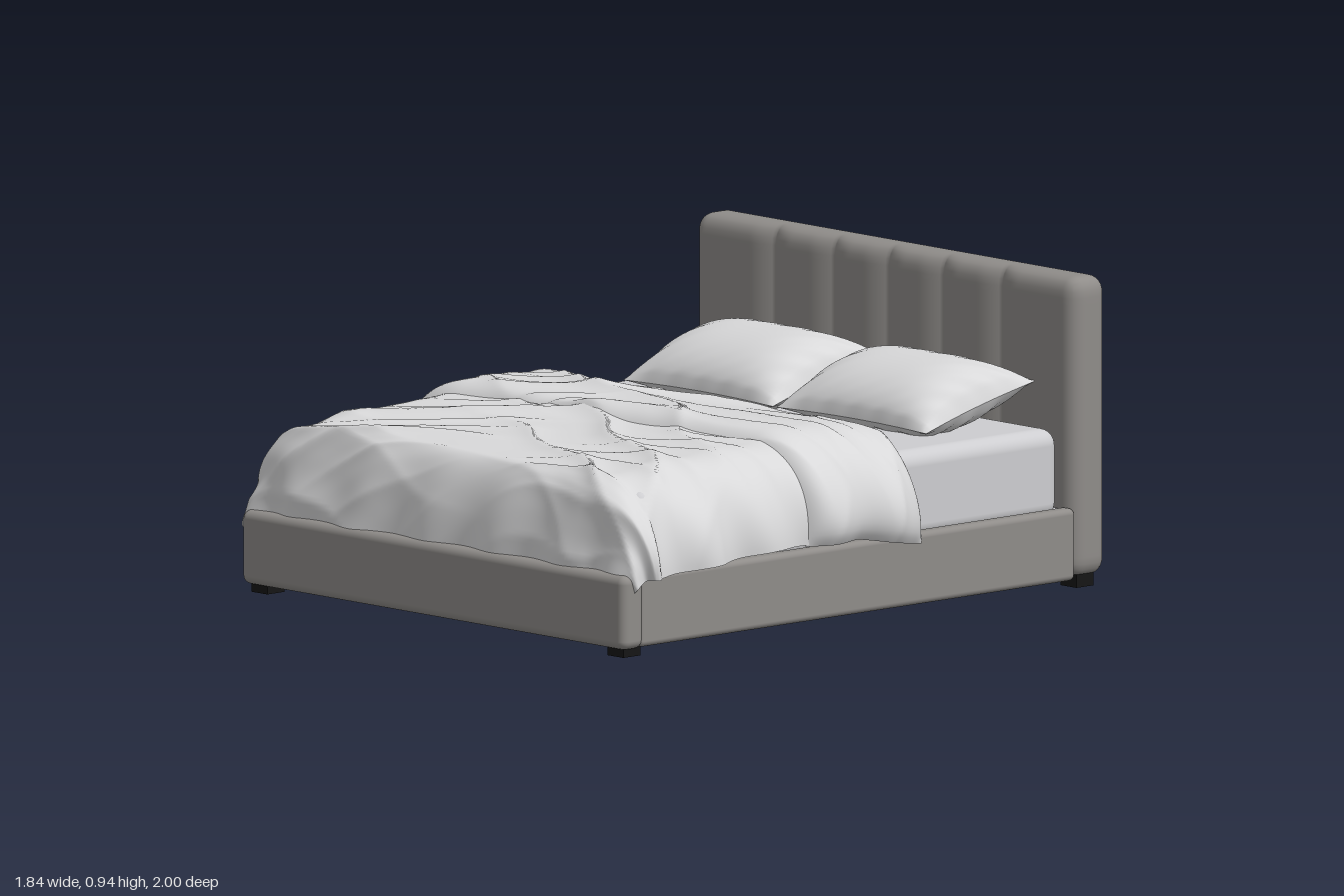
import * as THREE from 'three';
import { mergeVertices } from 'three/addons/utils/BufferGeometryUtils.js';
import { RoundedBoxGeometry } from 'three/addons/geometries/RoundedBoxGeometry.js';

const { sin, cos, abs, min, max, sign, PI } = Math;
const clamp = THREE.MathUtils.clamp;

const upholstery = new THREE.MeshStandardMaterial({ color: 0x8f8c89 });
const mattressFabric = new THREE.MeshStandardMaterial({ color: 0xcdcdd0 });
const linen = new THREE.MeshStandardMaterial({ color: 0xd8d8d9, side: THREE.DoubleSide });
const footPlastic = new THREE.MeshStandardMaterial({ color: 0x151515 });
upholstery.name = 'upholstery';
mattressFabric.name = 'mattressFabric';
linen.name = 'linen';
footPlastic.name = 'footPlastic';

function part(parent, name, geometry, material, x = 0, y = 0, z = 0) {
  const mesh = new THREE.Mesh(geometry, material);
  mesh.name = name;
  mesh.position.set(x, y, z);
  parent.add(mesh);
  return mesh;
}

// Moves every vertex by a rule and recomputes smooth normals
function reshape(geometry, rule) {
  geometry.deleteAttribute('normal');
  geometry.deleteAttribute('uv');
  const geo = mergeVertices(geometry, 1e-5);
  const pos = geo.attributes.position;
  const p = new THREE.Vector3();
  for (let i = 0; i < pos.count; i++) {
    rule(p.fromBufferAttribute(pos, i));
    pos.setXYZ(i, p.x, p.y, p.z);
  }
  geo.computeVertexNormals();
  return geo;
}

// Grid with u across and v from back (-1) to front (+1), facing up
function sheet(nu, nv, fn) {
  return reshape(new THREE.PlaneGeometry(2, 2, nu, nv), (p) => fn(p.x, -p.y, p));
}

// Headboard: rounded slab whose front is drawn in along vertical seams
function headboardGeometry() {
  const half = new THREE.Vector3(0.84, 0.4575, 0.0725);
  const r = 0.05;
  const seams = [-0.5, -0.24, 0, 0.24, 0.5];
  const core = new THREE.Vector3();
  return reshape(new THREE.BoxGeometry(1.68, 0.915, 0.145, 168, 44, 10), (p) => {
    const d = min(...seams.map((s) => abs(p.x - s)));
    core.set(
      clamp(p.x, -half.x + r, half.x - r),
      clamp(p.y, -half.y + r, half.y - r),
      clamp(p.z, -half.z + r, half.z - r));
    p.sub(core).setLength(r).add(core);
    const front = clamp((p.z + 0.02) / 0.09, 0, 1);
    p.z -= 0.024 * front * (1 - min(d / 0.09, 1)) ** 2;
  });
}

// Creases in the bedding
const ridge = (q) => (1 - abs(sin(q))) ** 1.6;
function wrinkle(x, z) {
  const p = z + 0.09 * sin(3 * x + 1) + 0.04 * sin(8 * x + 5 * z);
  return 0.024 * ridge(p * 8 + x * 2.2) * (0.5 + 0.5 * sin(4 * x + 3 * z + 1))
    + 0.02 * ridge(p * 13 - x * 6 + 0.7) * (0.5 + 0.5 * sin(5 * z - 4 * x))
    + 0.009 * ridge(p * 25 + x * 9) * (0.5 + 0.5 * sin(7 * x + 4));
}

// Lays cloth point (s, t) over a rounded edge at the sides and at the foot
function drape(s, t, o, lift, out) {
  const ru = max(0, abs(s) - o.a) / o.len;
  const rv = max(0, t - o.b) / o.len;
  const r = (ru ** 4 + rv ** 4) ** 0.25;
  const du = r ? ru / r : 0;
  const dv = r ? rv / r : 0;
  const ang = min(r, 1) * PI / 2;
  const hang = min(r, 1) * 0.013 * (du * sin(t * 25 + 4 * ru) + dv * sin(s * 21 + 3 * rv));
  const w = wrinkle(s, t) * (1 - 0.35 * min(r, 1)) + lift + hang;
  out.set(
    sign(s) * (min(abs(s), o.a) + du * (o.outX * sin(ang) + w * sin(ang))),
    o.top(t) - o.drop * (1 - cos(ang) + max(0, r - 1)) + w * cos(ang),
    min(t, o.b) + dv * (o.outZ * sin(ang) + w * sin(ang)));
}

function duvetGeometry() {
  const o = {
    a: 0.62, b: 0.865, len: 0.34, outX: 0.245, outZ: 0.1, drop: 0.285,
    top: (t) => 0.55 - 0.03 * clamp((t - 0.4) / 0.45, 0, 1),
  };
  return sheet(150, 120, (u, v, p) => {
    const z0 = -0.1;
    const t = z0 + (v + 1) / 2 * (o.b + o.len - z0);
    drape(u * (o.a + o.len), t, o, 0, p);
  });
}

// Turned-back upper part of the duvet, puffed with rolled edges
function foldGeometry() {
  const o = {
    a: 0.62, b: 9, len: 0.34, outX: 0.25, outZ: 0, drop: 0.28,
    top: (t) => 0.54 - 0.045 * clamp((0.05 - t) / 0.27, 0, 1),
  };
  return sheet(150, 60, (u, v, p) => {
    const front = 0.31 - 0.05 * u + 0.018 * sin(5 * u + 1);
    const back = -0.225 + 0.008 * sin(9 * u);
    const t = back + (v + 1) / 2 * (front - back);
    const puff = 0.055 * (1 - v ** 10) * (1 - 0.8 * u ** 30) - 0.01;
    drape(u * (o.a + o.len), t, o, puff, p);
  });
}

// Pillow half: plump centre, pinched corners, concave edges
function pillowHalf(side) {
  return sheet(40, 32, (u, v, p) => {
    const plump = ((1 - u ** 4) * (1 - v * v)) ** 0.62;
    const edge = max(abs(u), abs(v));
    const pucker = 0.007 * edge ** 4 * sin(19 * u + 15 * v) * (1 - edge ** 8);
    p.set(
      0.33 * u * (1 - 0.05 * (1 - v * v) * u * u),
      side * ((side > 0 ? 0.115 : 0.085) * plump + pucker),
      0.232 * v * (1 - 0.07 * (1 - u * u) * v * v));
  });
}

export function createModel() {
  const bed = new THREE.Group();
  bed.name = 'bed';

  // Frame
  part(bed, 'headboard', headboardGeometry(), upholstery, 0, 0.4875, -0.9275);
  part(bed, 'footboard', new RoundedBoxGeometry(1.69, 0.225, 0.088, 4, 0.026),
    upholstery, 0, 0.1375, 0.954);
  for (const s of [-1, 1]) {
    const side = s > 0 ? 'left' : 'right';
    part(bed, side + 'Rail', new RoundedBoxGeometry(0.055, 0.22, 1.79, 4, 0.018),
      upholstery, s * 0.813, 0.137, 0.03);
    for (const [end, z] of [['front', 0.94], ['back', -0.92]]) {
      part(bed, `${side}${end}Foot`, new THREE.BoxGeometry(0.07, 0.04, 0.07),
        footPlastic, s * 0.785, 0.02, z);
    }
  }

  // Mattress and its base panel
  part(bed, 'mattressBase', new THREE.BoxGeometry(1.58, 0.04, 1.79),
    mattressFabric, 0, 0.22, 0.025);
  part(bed, 'mattress', new RoundedBoxGeometry(1.57, 0.275, 1.74, 5, 0.05),
    mattressFabric, 0, 0.3475, 0.015);

  // Bedding
  part(bed, 'duvet', duvetGeometry(), linen);
  part(bed, 'duvetFold', foldGeometry(), linen);
  for (const s of [-1, 1]) {
    const pillow = new THREE.Group();
    pillow.name = s > 0 ? 'leftPillow' : 'rightPillow';
    pillow.position.set(s * 0.338, 0.56, -0.635);
    pillow.rotation.x = 0.24;
    part(pillow, 'pillowTop', pillowHalf(1), linen);
    part(pillow, 'pillowUnderside', pillowHalf(-1), linen);
    bed.add(pillow);
  }
  return bed;
}
